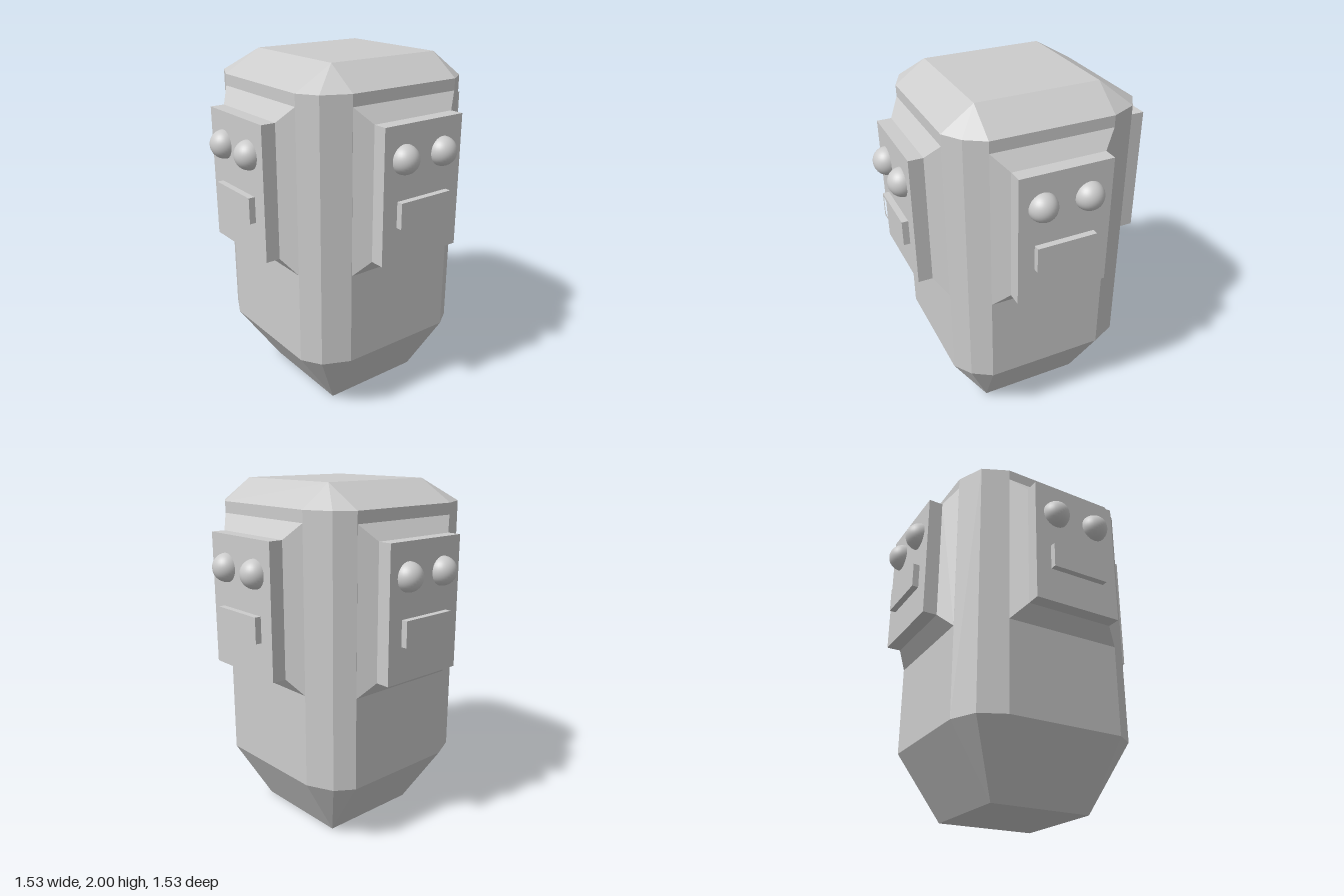
import * as THREE from 'three';

const material = new THREE.MeshStandardMaterial({ color: 0xcccccc, flatShading: true });
const smooth = new THREE.MeshStandardMaterial({ color: 0xcccccc });

// Closed loft through rings of [x, z] points at given heights, with flat caps
function loft(rings) {
  const pos = [];
  const tri = (a, b, c) => {
    const t = new THREE.Triangle(a, b, c);
    if (t.getArea() > 1e-7) for (const p of [a, b, c]) pos.push(p.x, p.y, p.z);
  };
  const R = rings.map(({ y, pts }) => pts.map(([x, z]) => new THREE.Vector3(x, y, z)));
  const n = R[0].length;
  for (let k = 0; k < R.length - 1; k++) {
    for (let i = 0; i < n; i++) {
      const j = (i + 1) % n;
      tri(R[k][i], R[k][j], R[k + 1][j]);
      tri(R[k][i], R[k + 1][j], R[k + 1][i]);
    }
  }
  const top = R[R.length - 1];
  for (let i = 1; i < n - 1; i++) {
    tri(top[0], top[i], top[i + 1]);
    tri(R[0][0], R[0][i + 1], R[0][i]);
  }
  const g = new THREE.BufferGeometry();
  g.setAttribute('position', new THREE.Float32BufferAttribute(pos, 3));
  g.computeVertexNormals();
  return g;
}

function add(parent, name, geometry, x = 0, y = 0, z = 0, mat = material) {
  const m = new THREE.Mesh(geometry, mat);
  m.name = name;
  m.position.set(x, y, z);
  parent.add(m);
  return m;
}

const rect = (w, h) => [[-w / 2, h / 2], [w / 2, h / 2], [w / 2, -h / 2], [-w / 2, -h / 2]];

function rectPath(PathClass, w, h) {
  const p = new PathClass();
  rect(w, h).forEach(([x, y], i) => (i ? p.lineTo(x, y) : p.moveTo(x, y)));
  p.closePath();
  return p;
}

// Twelve-sided column section, and a square whose corners are each repeated three times
const x0 = -0.325, x1 = 0.365, z0 = -0.37, z1 = 0.322, S = 0.54, C = 0.472;
const section = [
  [x0, S], [x1, S], [C, C], [S, z1], [S, z0], [C, -C],
  [x1, -S], [x0, -S], [-C, -C], [-S, z0], [-S, z1], [-C, C],
];
function square(a0, a1, b0, b1) {
  return [
    [a0, b1], [a1, b1], [a1, b1], [a1, b1], [a1, b0], [a1, b0],
    [a1, b0], [a0, b0], [a0, b0], [a0, b0], [a0, b1], [a0, b1],
  ];
}

// One face: bevelled base, plate, two round eyes and a hollow mouth
function createFace(name) {
  const face = new THREE.Group();
  face.name = name;
  const midY = 1.358;
  const base = loft([
    { y: 0.535, pts: rect(0.69, 0.905) },
    { y: 0.54, pts: rect(0.69, 0.905) },
    { y: 0.605, pts: rect(0.525, 0.735) },
  ]).rotateX(Math.PI / 2);
  add(face, 'faceBevel', base, 0, midY, 0);
  add(face, 'facePlate', new THREE.BoxGeometry(0.525, 0.735, 0.085), 0, midY, 0.6425);

  for (const s of [-1, 1]) {
    add(face, s < 0 ? 'rightEye' : 'leftEye',
      new THREE.SphereGeometry(0.079, 32, 20), s * 0.13, 1.546, 0.684, smooth);
  }

  const frame = rectPath(THREE.Shape, 0.34, 0.143);
  frame.holes.push(rectPath(THREE.Path, 0.3, 0.103));
  add(face, 'mouthFrame',
    new THREE.ExtrudeGeometry(frame, { depth: 0.045, bevelEnabled: false }), 0, 1.258, 0.676);
  return face;
}

export function createModel() {
  const model = new THREE.Group();
  model.name = 'fourFacedHead';

  // Column with tapered foot and chamfered crown
  add(model, 'column', loft([
    { y: 0, pts: square(-0.285, 0.318, -0.318, 0.285) },
    { y: 0.38, pts: section },
    { y: 1.875, pts: section },
    { y: 2, pts: square(x0, x1, z0, z1) },
  ]));

  // The same face on all four sides
  ['frontFace', 'leftFace', 'backFace', 'rightFace'].forEach((name, i) => {
    const face = createFace(name);
    face.rotation.y = i * Math.PI / 2;
    face.position.set(i % 2 ? 0 : 0.02, 0, i % 2 ? -0.024 : 0);
    model.add(face);
  });
  return model;
}
